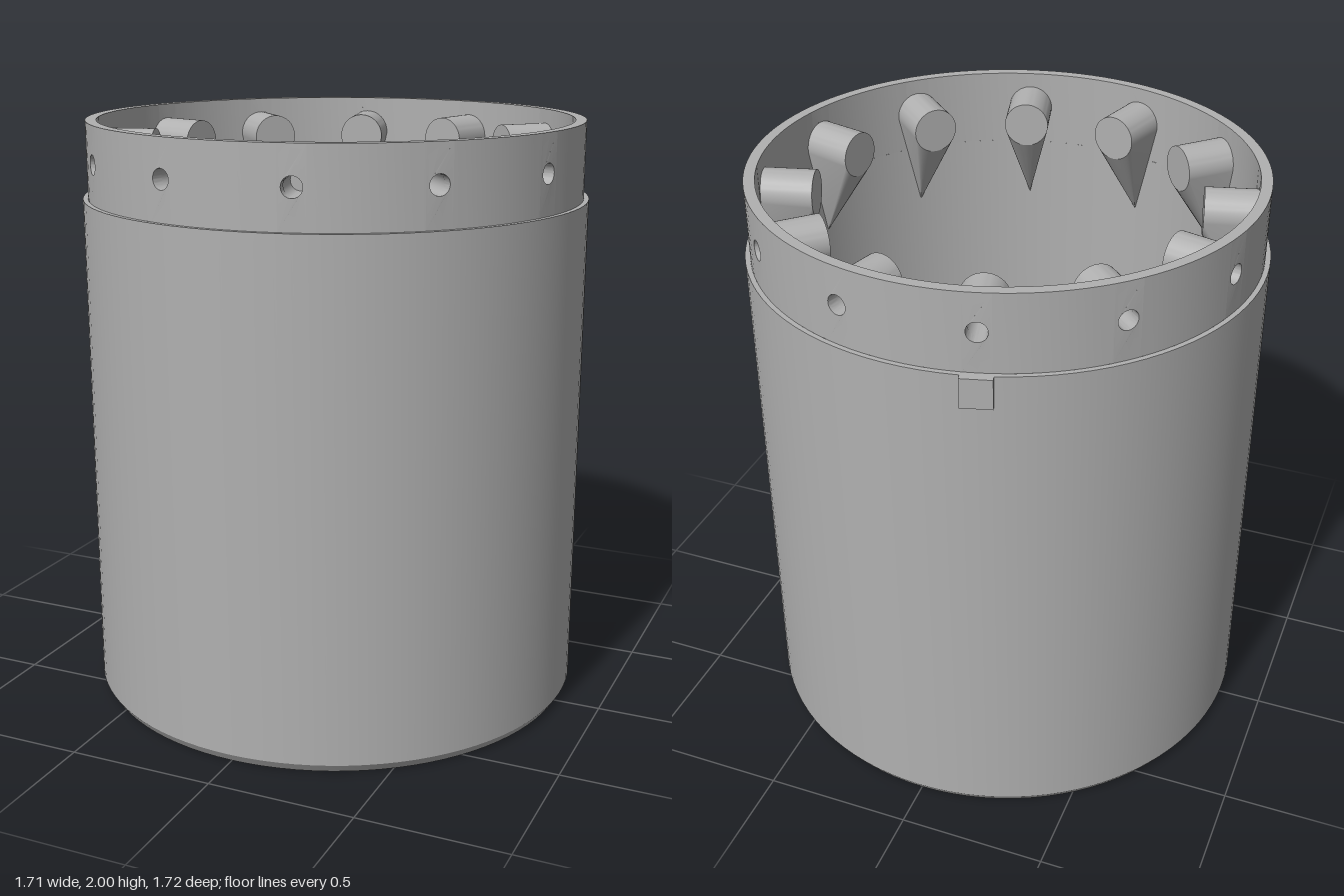
import * as THREE from 'three';
import { toCreasedNormals } from 'three/addons/utils/BufferGeometryUtils.js';

const R_OUT = 0.857, R_COLLAR = 0.84, R_IN = 0.803;
const LEDGE = 1.74, TOP = 2, FLOOR = 0.05;
const BOSS_Y = 1.873, BOSS_R = 0.077, BOSS_IN = 0.63, HOLE_R = 0.033;
const DEG = Math.PI / 180;

const grey = new THREE.MeshStandardMaterial({ color: 0xb0b0b0, side: THREE.DoubleSide });
grey.name = 'grey plastic';

function part(name, geometry, parent) {
  const mesh = new THREE.Mesh(toCreasedNormals(geometry, 0.5), grey);
  mesh.name = name;
  parent.add(mesh);
  return mesh;
}

function lathe(points, segments, start = 0, length = Math.PI * 2) {
  return new THREE.LatheGeometry(points.map(p => new THREE.Vector2(...p)), segments, start, length);
}

function circlePath(x, y, r) {
  return new THREE.Path().absarc(x, y, r, 0, Math.PI * 2, true);
}

// Base plate with round holes and two T-shaped slots
function floorGeometry() {
  const shape = new THREE.Shape().absarc(0, 0, 0.838, 0, Math.PI * 2, false);
  const spots = [[-0.42, 0.28], [0.345, 0.105], [0.485, 0.105]];
  for (const s of [1, -1]) {
    for (const [x, z] of spots) shape.holes.push(circlePath(x, s * z, 0.031));
    const slot = [[0.035, 0.715], [0.15, 0.715], [0.15, 0.785], [-0.15, 0.785], [-0.15, 0.715], [-0.035, 0.715]];
    for (let i = 0; i <= 12; i++) {
      const a = Math.PI + (i / 12) * Math.PI;
      slot.push([0.035 * Math.cos(a), 0.61 + 0.035 * Math.sin(a)]);
    }
    shape.holes.push(new THREE.Path(slot.map(([x, z]) => new THREE.Vector2(x, s * z))));
  }
  const g = new THREE.ExtrudeGeometry(shape, { depth: FLOOR, bevelEnabled: false, curveSegments: 48 });
  return g.rotateX(-Math.PI / 2);
}

// Narrow collar panel with a screw hole, bent around the axis
function holePanelGeometry(half) {
  const w = half * R_COLLAR;
  const shape = new THREE.Shape();
  shape.moveTo(-w, LEDGE).lineTo(0, LEDGE).lineTo(w, LEDGE).lineTo(w, TOP).lineTo(0, TOP).lineTo(-w, TOP);
  shape.holes.push(circlePath(0, BOSS_Y, HOLE_R));
  const g = new THREE.ExtrudeGeometry(shape, { depth: R_COLLAR - R_IN, bevelEnabled: false, curveSegments: 24 });
  const p = g.attributes.position;
  for (let i = 0; i < p.count; i++) {
    const r = R_IN + p.getZ(i), a = p.getX(i) / R_COLLAR;
    p.setXYZ(i, r * Math.sin(a), p.getY(i), r * Math.cos(a));
  }
  return g;
}

// Horizontal boss whose underside tapers to a point on the wall
function bossGeometry() {
  const n = 48, drop = 0.34, zOut = 0.815;
  const inner = [], outer = [], pos = [];
  for (let i = 0; i <= n; i++) {
    const a = (i / n) * Math.PI * 2;
    const x = BOSS_R * Math.cos(a), y = BOSS_Y + BOSS_R * Math.sin(a);
    inner.push([x, y, BOSS_IN]);
    const underside = -Math.sin(a) * drop > BOSS_R;
    outer.push(underside ? [0, BOSS_Y - drop, zOut - 0.01] : [x, y, zOut]);
  }
  const centre = [0, BOSS_Y, BOSS_IN];
  for (let i = 0; i < n; i++) {
    const j = i + 1;
    pos.push(...centre, ...inner[j], ...inner[i]);
    pos.push(...inner[i], ...inner[j], ...outer[j]);
    if (outer[i] !== outer[j] && outer[i].some((v, k) => v !== outer[j][k]))
      pos.push(...inner[i], ...outer[j], ...outer[i]);
  }
  const g = new THREE.BufferGeometry();
  g.setAttribute('position', new THREE.Float32BufferAttribute(pos, 3));
  g.computeVertexNormals();
  return g;
}

export function createModel() {
  const model = new THREE.Group();
  model.name = 'canister';

  // Main wall: chamfered foot, outer side, ledge; then the inner side
  part('outerWall', lathe([[0.838, 0], [R_OUT, 0.03], [R_OUT, LEDGE], [R_COLLAR, LEDGE]], 96), model);
  part('innerWall', lathe([[R_IN, LEDGE], [R_IN, FLOOR]], 96), model);
  part('floor', floorGeometry(), model);

  // Collar with twelve screw bosses
  const half = 3 * DEG;
  const panel = holePanelGeometry(half);
  const boss = bossGeometry();
  const bore = lathe([[0, 0.68], [HOLE_R, 0.68], [HOLE_R, R_COLLAR - 0.002]], 24).rotateX(Math.PI / 2).translate(0, BOSS_Y, 0);
  const plain = lathe([[R_COLLAR, LEDGE], [R_COLLAR, TOP], [R_IN, TOP], [R_IN, LEDGE]], 8, half, 24 * DEG);
  for (let i = 0; i < 12; i++) {
    const station = new THREE.Group();
    station.name = 'collarSection' + (i + 1);
    station.rotation.y = (15 + 30 * i) * DEG;
    part('collarHolePanel', panel, station);
    part('collarPanel', plain, station);
    part('screwBoss', boss, station);
    part('screwBore', bore, station);
    model.add(station);
  }

  // Small alignment tab at the back, just under the ledge
  const tabPivot = new THREE.Group();
  tabPivot.name = 'alignmentTab';
  tabPivot.rotation.y = 195 * DEG;
  part('tab', new THREE.BoxGeometry(0.1, 0.1, 0.045), tabPivot).position.set(0, 1.69, 0.853);
  model.add(tabPivot);

  return model;
}
